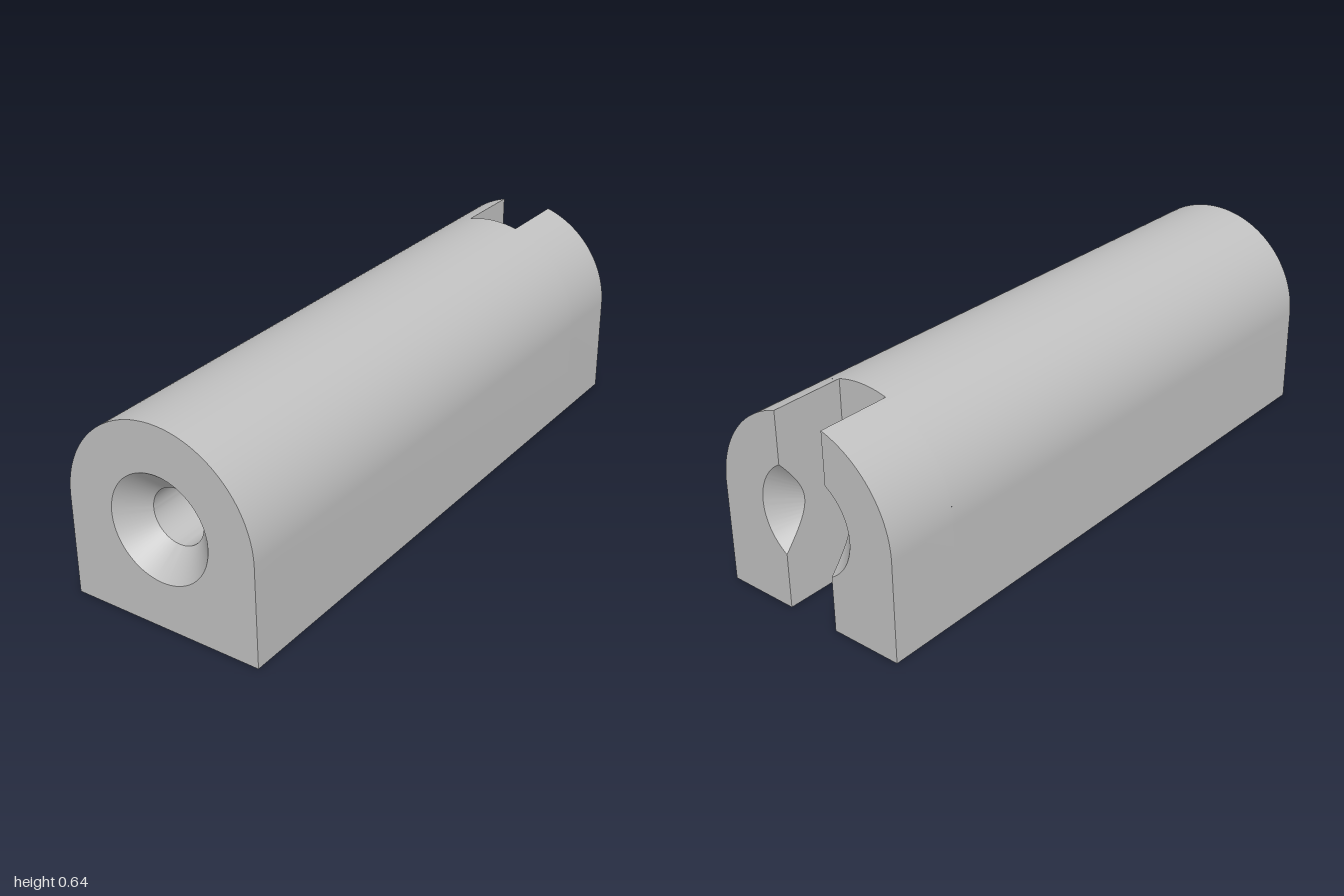
import * as THREE from 'three';
import { toCreasedNormals } from 'three/addons/utils/BufferGeometryUtils.js';

const R = 0.32;        // rounded top radius, also the height of the bore axis
const BORE = 0.088;    // bore radius, also half the slot width
const SINK = 0.168;    // countersink radius at the end faces
const DEPTH = SINK - BORE;
const FRONT = 1, BACK = -1, SLOT = -0.762;
const TOP = R + Math.sqrt(R * R - BORE * BORE); // height of the slot's upper edges

// Points on an arc about the bore axis; radius may depend on the angle
function arc(radius, from, to, n) {
  return Array.from({ length: n + 1 }, (_, i) => {
    const t = from + ((to - from) * i) / n;
    const r = typeof radius === 'function' ? radius(t) : radius;
    return new THREE.Vector2(r * Math.cos(t), R + r * Math.sin(t));
  });
}
const v2 = (x, y) => new THREE.Vector2(x, y);
const at = (points, z) => points.map((p) => new THREE.Vector3(p.x, p.y, z));

// Strip of quads between two rows of points
function loft(a, b) {
  const n = a.length, index = [];
  for (let i = 0; i < n - 1; i++) {
    index.push(i, n + i, i + 1, i + 1, n + i, n + i + 1);
  }
  const g = new THREE.BufferGeometry().setFromPoints([...a, ...b]);
  g.setIndex(index);
  return toCreasedNormals(g, 0.6);
}

export function createModel() {
  const model = new THREE.Group();
  model.name = 'slottedBlock';
  const grey = new THREE.MeshStandardMaterial({ color: 0xc0c0c0 });
  grey.name = 'grey';

  function add(name, geometry, parent = model) {
    const mesh = new THREE.Mesh(geometry, grey);
    mesh.name = name;
    parent.add(mesh);
  }

  // Outer skin ahead of the slot
  const outline = [v2(-R, 0), v2(R, 0), ...arc(R, 0, Math.PI, 96), v2(-R, 0)];
  add('bodySkin', loft(at(outline, FRONT), at(outline, SLOT)));

  // Front face with its countersunk hole
  const face = new THREE.Shape(outline.slice(0, -1));
  face.holes.push(new THREE.Path(arc(SINK, 0, Math.PI * 2, 72).slice(0, -1)));
  add('frontFace', new THREE.ShapeGeometry(face).translate(0, 0, FRONT));

  // Front countersink and the bore behind it
  const rim = arc(SINK, 0, Math.PI * 2, 72);
  const bore = arc(BORE, 0, Math.PI * 2, 72);
  add('frontCountersink', loft(at(bore, FRONT - DEPTH), at(rim, FRONT)));
  add('bore', loft(at(bore, SLOT), at(bore, FRONT - DEPTH)));

  // End wall of the slot, above and below the bore
  const edge = Math.acos(BORE / R);
  const upper = [...arc(R, edge, Math.PI - edge, 24), ...arc(BORE, Math.PI, 0, 36)];
  const lower = [v2(-BORE, 0), v2(BORE, 0), ...arc(BORE, 0, -Math.PI, 36)];
  [upper, lower].forEach((points, i) => {
    const g = new THREE.ShapeGeometry(new THREE.Shape(points));
    add(i ? 'slotEndLower' : 'slotEndUpper', g.rotateY(Math.PI).translate(0, 0, SLOT));
  });

  // Two cheeks beside the slot, each with its share of the rear countersink
  const a = Math.acos(BORE / SINK);
  const sinkRim = arc(SINK, -a, a, 40);
  const sinkCut = arc((t) => BORE / Math.cos(t), -a, a, 40);
  const cutZ = sinkCut.map((p) => BACK + SINK - Math.hypot(p.x, p.y - R));
  const profile = [v2(BORE, 0), v2(R, 0), ...arc(R, 0, edge, 36)];

  for (const s of [1, -1]) {
    const cheek = new THREE.Group();
    cheek.name = s > 0 ? 'leftCheek' : 'rightCheek';
    model.add(cheek);
    const side = (points) => points.map((p) => v2(s * p.x, p.y));
    const strip = (p, q) => (s > 0 ? loft(p, q) : loft(q, p));

    add('cheekSkin', strip(at(side(profile), SLOT), at(side(profile), BACK)), cheek);

    const cut = side(sinkCut).map((p, i) => new THREE.Vector3(p.x, p.y, cutZ[i]));
    add('rearCountersink', strip(at(side(sinkRim), BACK), cut), cheek);

    const back = [...profile, ...sinkRim.slice().reverse()].map((p) => v2(-s * p.x, p.y));
    add('backFace', new THREE.ShapeGeometry(new THREE.Shape(back))
      .rotateY(Math.PI).translate(0, 0, BACK), cheek);

    const wall = [v2(BACK, 0), v2(SLOT, 0), v2(SLOT, TOP), v2(BACK, TOP),
      ...sinkCut.map((p, i) => v2(cutZ[i], p.y)).reverse()].map((p) => v2(s * p.x, p.y));
    add('slotWall', new THREE.ShapeGeometry(new THREE.Shape(wall))
      .rotateY((-s * Math.PI) / 2).translate(s * BORE, 0, 0), cheek);
  }
  return model;
}
